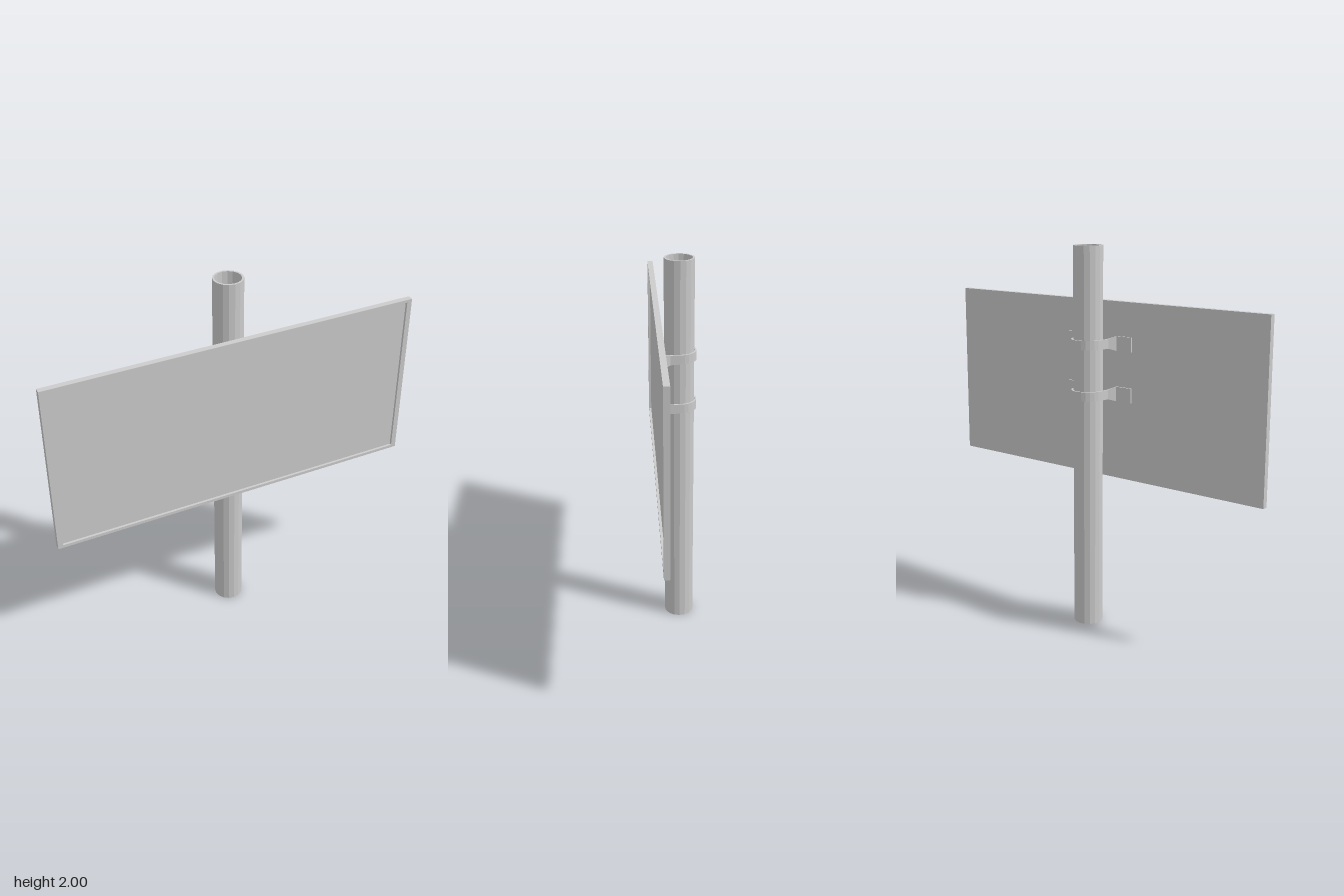
import * as THREE from 'three';

const POLE_X = 0.008, POLE_Z = -0.02;
const material = new THREE.MeshStandardMaterial({ color: 0xcccccc, flatShading: true });

function part(name, geometry, x = 0, y = 0, z = 0) {
  const mesh = new THREE.Mesh(geometry, material);
  mesh.name = name;
  mesh.position.set(x, y, z);
  return mesh;
}

// Bent metal strip: path entries are [x, z, halfHeight]
function stripGeometry(path, thickness) {
  const positions = [], index = [], last = path.length - 1;
  path.forEach(([x, z, h], i) => {
    const a = path[Math.max(i - 1, 0)], b = path[Math.min(i + 1, last)];
    const tangent = new THREE.Vector2(b[0] - a[0], b[1] - a[1]).normalize();
    const nx = -tangent.y * thickness / 2, nz = tangent.x * thickness / 2;
    for (const [sy, sn] of [[-1, -1], [1, -1], [1, 1], [-1, 1]]) {
      positions.push(x + nx * sn, h * sy, z + nz * sn);
    }
    if (i === last) return;
    for (let k = 0; k < 4; k++) {
      const p = i * 4 + k, q = i * 4 + (k + 1) % 4;
      index.push(p, q, q + 4, p, q + 4, p + 4);
    }
  });
  const e = last * 4;
  index.push(0, 2, 1, 0, 3, 2, e, e + 1, e + 2, e, e + 2, e + 3);
  const geometry = new THREE.BufferGeometry();
  geometry.setAttribute('position', new THREE.Float32BufferAttribute(positions, 3));
  geometry.setIndex(index);
  const flat = geometry.toNonIndexed();
  flat.computeVertexNormals();
  return flat;
}

// Clamp outline: flared tabs joined by a loop around the pole
function clampPath() {
  const side = [[0.207, 0.07, 0.038], [0.113, 0.07, 0.038], [0.088, 0.03, 0.025]];
  const arc = [];
  const steps = 12, radius = 0.083;
  for (let i = 0; i <= steps; i++) {
    const a = Math.PI * i / steps;
    arc.push([radius * Math.cos(a), POLE_Z - radius * Math.sin(a), 0.024]);
  }
  const mirrored = side.map(([x, z, h]) => [-x, z, h]).reverse();
  return [...side, ...arc, ...mirrored];
}

function rectangle(target, w, h) {
  target.moveTo(-w, -h);
  target.lineTo(w, -h);
  target.lineTo(w, h);
  target.lineTo(-w, h);
  target.closePath();
  return target;
}

export function createModel() {
  const group = new THREE.Group();
  group.name = 'signPost';

  // Hollow pole
  const profile = [[0.066, 0], [0.076, 0], [0.076, 2], [0.066, 2], [0.066, 0]]
    .map(([r, y]) => new THREE.Vector2(r, y));
  group.add(part('pole', new THREE.LatheGeometry(profile, 16), POLE_X, 0, POLE_Z));

  // Sign panel with a raised rim on its front
  const y = 1.258, halfW = 0.984, halfH = 0.462;
  group.add(part('panel', new THREE.BoxGeometry(halfW * 2, halfH * 2, 0.017), 0, y, 0.0835));
  const rim = rectangle(new THREE.Shape(), halfW, halfH);
  rim.holes.push(rectangle(new THREE.Path(), 0.957, 0.446));
  group.add(part('panelRim',
    new THREE.ExtrudeGeometry(rim, { depth: 0.013, bevelEnabled: false }), 0, y, 0.092));

  // Two clamps holding the panel to the pole
  const clamp = stripGeometry(clampPath(), 0.009);
  group.add(part('upperClamp', clamp, POLE_X, 1.506, 0));
  group.add(part('lowerClamp', clamp, POLE_X, 1.244, 0));

  return group;
}
